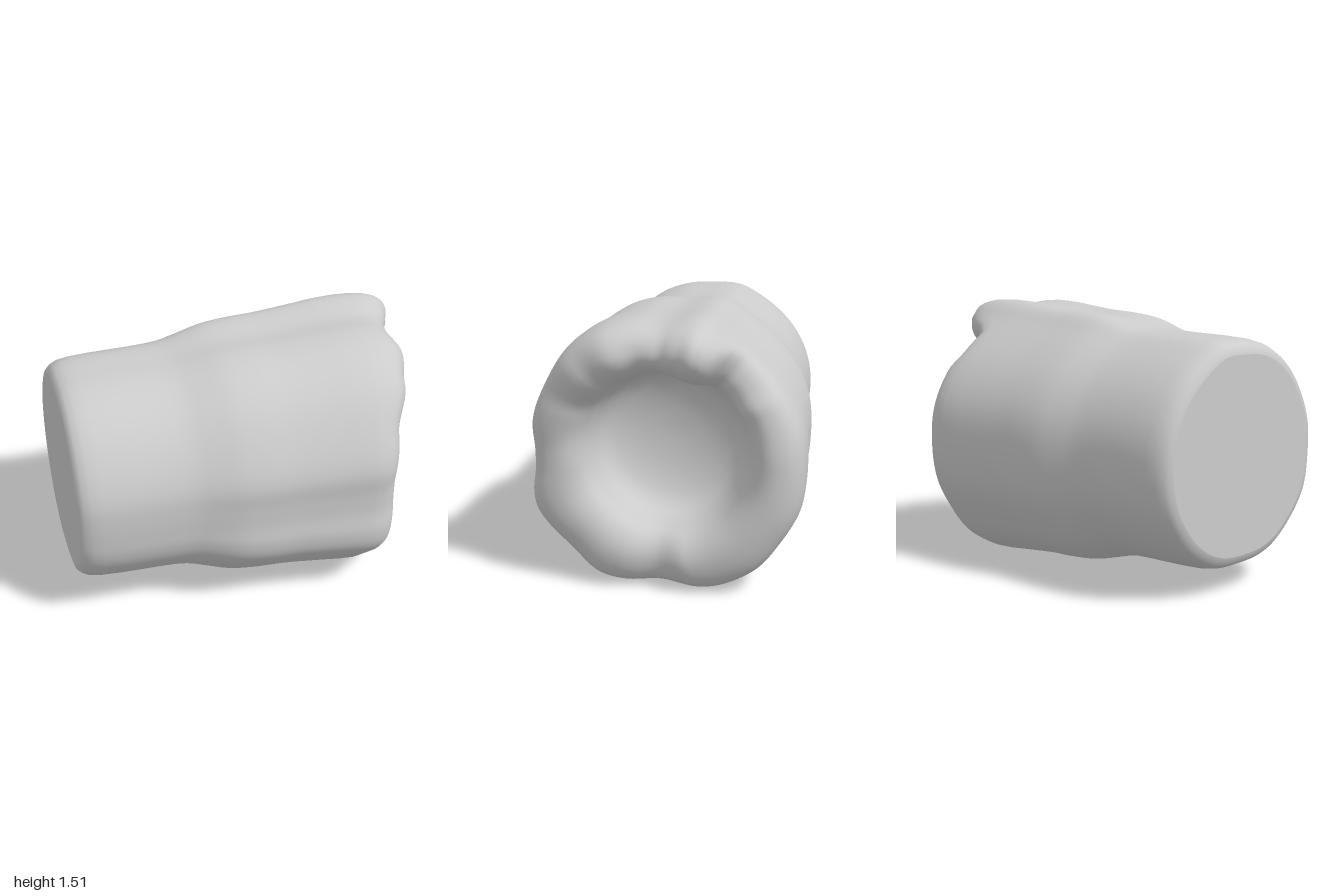
import * as THREE from 'three';

const SEG = 160;
const CY = 0.75; // height of the long axis
const lerp = THREE.MathUtils.lerp;
const material = new THREE.MeshStandardMaterial({ color: 0xcccccc, roughness: 0.9 });

// Uneven outer outline at the wide end, as [z, y] points around the axis
const outline = new THREE.CatmullRomCurve3([
  [0.742, 0.75], [0.75, 0.9], [0.7, 1.06], [0.55, 1.31], [0.37, 1.45], [0.2, 1.49], [0.02, 1.48],
  [-0.2, 1.505], [-0.34, 1.4], [-0.6, 1.16], [-0.72, 0.95], [-0.75, 0.72], [-0.72, 0.47],
  [-0.62, 0.28], [-0.5, 0.13], [-0.33, 0.03], [-0.2, 0.0], [0.02, 0.02], [0.23, 0.01],
  [0.4, 0.05], [0.55, 0.185], [0.68, 0.31], [0.74, 0.4], [0.757, 0.5], [0.742, 0.63],
].map(([z, y]) => new THREE.Vector3(0, y - CY, z)), true);

// Sideways reach of the lip by angle in degrees (0 = front, 90 = top):
// a blunt knob just behind the top, with a notch beside it
const lip = [
  [0, 0.785], [25, 0.81], [48, 0.89], [65, 0.93], [78, 0.905], [90, 0.92], [97, 0.96], [106, 1.0],
  [112, 0.975], [117, 0.92], [124, 0.73], [136, 0.75], [150, 0.81], [180, 0.835], [230, 0.84],
  [258, 0.83], [275, 0.785], [292, 0.82], [315, 0.795], [335, 0.785], [360, 0.785],
];
function lipAt(deg) {
  const i = Math.min(lip.findIndex(([a]) => a > deg), lip.length - 1);
  const [a0, x0] = lip[i - 1], [a1, x1] = lip[i];
  return lerp(x0, x1, THREE.MathUtils.smoothstep(deg, a0, a1));
}

// Direction, outer radius, lip reach and knob strength for every step around the axis
const spokes = [];
for (let j = 0; j < SEG; j++) {
  const p = outline.getPoint(j / SEG);
  const a = Math.atan2(p.y, p.z);
  const deg = (THREE.MathUtils.radToDeg(a) + 360) % 360;
  const knob = Math.exp(-(((deg - 106) / 14) ** 2));
  spokes.push({ a, r: Math.hypot(p.y, p.z), lip: lipAt(deg), knob });
}

// Skin closed loops; each ring maps a spoke to [x, radius, lift]
function loft(rings, name) {
  const pos = [], index = [];
  rings.forEach((ring, i) => spokes.forEach((s, j) => {
    const [x, r, lift = 0] = ring(s);
    pos.push(x, CY + lift + r * Math.sin(s.a), r * Math.cos(s.a));
    if (i === rings.length - 1) return;
    const k = (j + 1) % SEG;
    const a = i * SEG + j, b = a + SEG, c = i * SEG + k, d = c + SEG;
    index.push(a, b, c, b, d, c);
  }));
  const g = new THREE.BufferGeometry();
  g.setAttribute('position', new THREE.Float32BufferAttribute(pos, 3));
  g.setIndex(index);
  g.computeVertexNormals();
  const mesh = new THREE.Mesh(g, material);
  mesh.name = name;
  return mesh;
}

const curve2 = (points) => new THREE.CatmullRomCurve3(points.map(([a, b]) => new THREE.Vector3(a, b, 0)));

export function createModel() {
  const group = new THREE.Group();
  group.name = 'hollowLog';

  const narrow = (s) => 0.628 * Math.pow(s.r / 0.75, 0.3);
  const rings = [];

  // Rounded closed end: [x, share of the narrow radius]
  for (const [x, k] of [[-1, 0.87], [-0.992, 0.915], [-0.97, 0.95], [-0.93, 0.98], [-0.87, 0.995]])
    rings.push((s) => [x, narrow(s) * k]);

  // Body swelling towards the open end: [x, blend to the wide outline]
  const body = curve2([
    [-0.75, 0.02], [-0.4, 0.09], [-0.25, 0.33], [-0.1, 0.6], [0.05, 0.7], [0.2, 0.74], [0.4, 0.86], [0.56, 0.97],
  ]);
  for (const p of body.getPoints(24))
    rings.push((s) => [p.x, lerp(narrow(s), s.r, p.y)]);

  // Thick rolled lip: [share of the reach beyond x = 0.56, blend from outside to opening]
  const roll = curve2([
    [0.3, 0], [0.6, 0.035], [0.8, 0.12], [0.93, 0.26], [0.99, 0.42], [0.99, 0.56], [0.92, 0.71],
    [0.74, 0.86], [0.4, 0.97],
  ]);
  for (const p of roll.getPoints(30))
    rings.push((s) => [
      lerp(0.56, s.lip, p.x),
      lerp(s.r, 0.43 - 0.03 * s.knob, p.y) + 0.03 * s.knob * Math.sin(Math.PI * p.y),
      0.03 * p.y,
    ]);

  // Shallow dished floor inside the opening: [x, radius]
  for (const [x, r] of [[0.61, 0.415], [0.56, 0.4], [0.51, 0.365], [0.475, 0.31], [0.445, 0.23], [0.43, 0.15], [0.42, 0.07], [0.42, 0]])
    rings.push(() => [x, r, 0.03]);

  group.add(loft(rings, 'logShell'));

  // Flat closed end
  group.add(loft([() => [-1, 0], (s) => [-1, narrow(s) * 0.87]], 'flatEnd'));
  return group;
}
